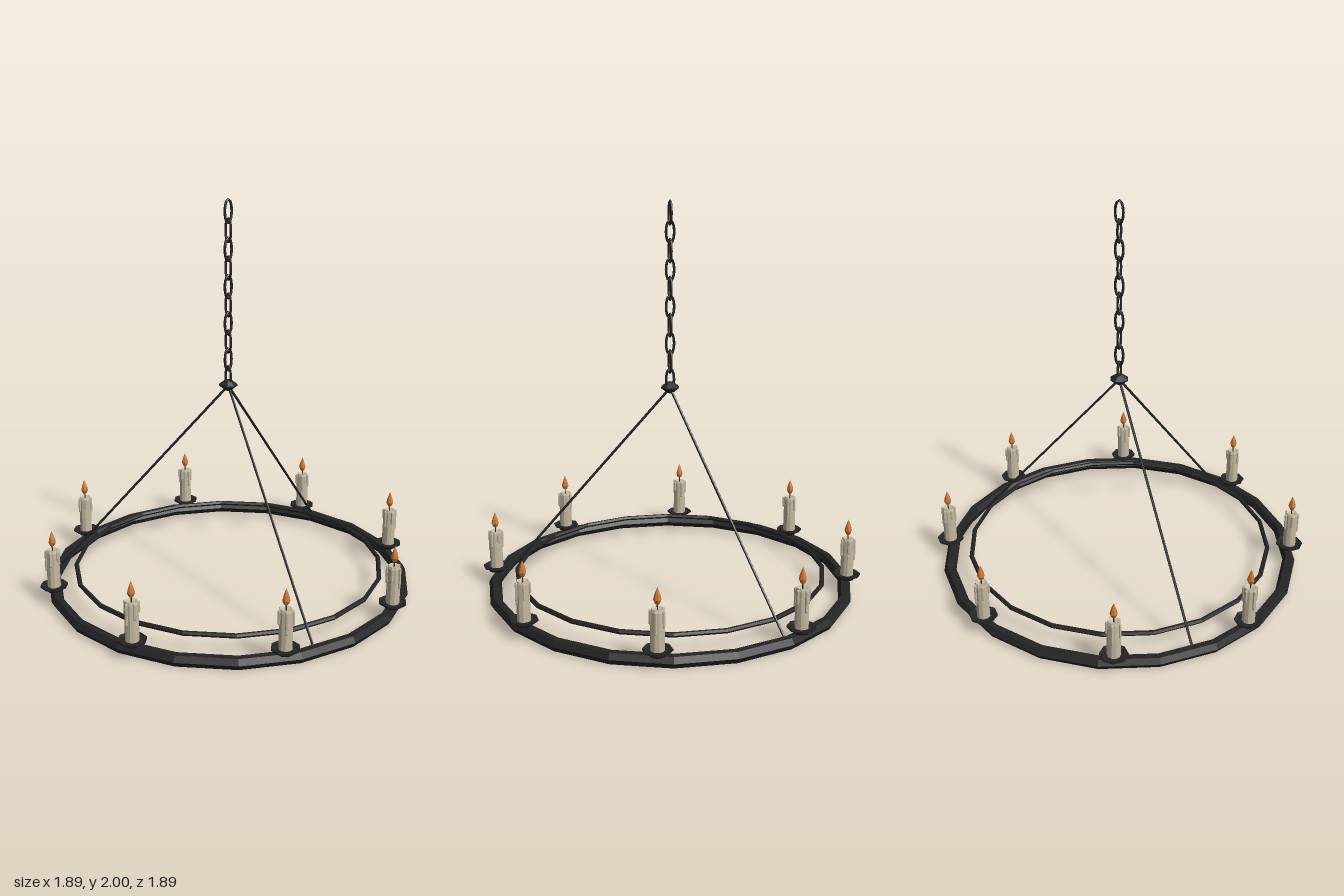
import * as THREE from 'three';

const mat = (name, color) => {
  const m = new THREE.MeshStandardMaterial({ color, flatShading: true });
  m.name = name;
  return m;
};

export function createModel() {
  const iron = mat('black iron', 0x242425);
  const wax = mat('candle wax', 0xc4b9a2);
  const fire = mat('flame orange', 0xcf772f);
  const root = new THREE.Group();
  root.name = 'chandelier';

  const add = (parent, name, geo, material, x = 0, y = 0, z = 0) => {
    const m = new THREE.Mesh(geo, material);
    m.name = name;
    m.position.set(x, y, z);
    parent.add(m);
    return m;
  };
  const lathe = (pts, sides) =>
    new THREE.LatheGeometry(pts.map(p => new THREE.Vector2(p[0], p[1])), sides);

  // Heavy outer hoop and thin inner hoop
  add(root, 'outerRing', new THREE.TorusGeometry(0.914, 0.032, 6, 20).rotateX(Math.PI / 2), iron, 0, 0.03, 0);
  add(root, 'innerRing', new THREE.TorusGeometry(0.797, 0.012, 6, 20).rotateX(Math.PI / 2), iron, 0, 0.1, 0);

  // Hub and three slanted rods
  add(root, 'hub', lathe([[0, 1.035], [0.018, 1.043], [0.047, 1.066], [0.047, 1.072], [0.018, 1.094], [0, 1.1]], 8), iron);
  const apex = new THREE.Vector3(0, 1.065, 0);
  for (let i = 0; i < 3; i++) {
    const a = THREE.MathUtils.degToRad(17 + i * 120);
    const foot = new THREE.Vector3(0.9 * Math.cos(a), 0.045, -0.9 * Math.sin(a));
    add(root, 'rod', new THREE.TubeGeometry(new THREE.LineCurve3(apex, foot), 1, 0.0065, 6), iron);
  }

  // Chain of oval links, each turned a quarter from the last
  const oval = [];
  for (let i = 0; i < 12; i++) {
    const a = i * Math.PI / 6;
    oval.push(new THREE.Vector3(0.021 * Math.cos(a), 0.057 * Math.sin(a), 0));
  }
  const linkGeo = new THREE.TubeGeometry(new THREE.CatmullRomCurve3(oval, true), 16, 0.0065, 6, true);
  for (let i = 0; i < 10; i++) {
    const link = add(root, 'chainLink', linkGeo, iron, 0, 1.9365 - i * 0.092, 0);
    link.rotation.y = (i % 2) * Math.PI / 2;
  }

  // Candle parts, shared by all eight candles
  const dishGeo = lathe([[0, 0.05], [0.04, 0.062], [0.048, 0.074], [0.07, 0.084], [0.07, 0.092], [0.05, 0.086], [0, 0.086]], 8);
  const candleGeo = lathe([[0, 0.085], [0.034, 0.085], [0.032, 0.272], [0.028, 0.285], [0.018, 0.28], [0, 0.276]], 10);
  const wickGeo = new THREE.CylinderGeometry(0.003, 0.003, 0.04, 5);
  const flameGeo = lathe([[0, 0.298], [0.012, 0.308], [0.019, 0.326], [0.014, 0.348], [0.006, 0.37], [0, 0.386]], 7);
  const drips = [[0.2, 0.1], [1.5, 0.06], [2.7, 0.08], [4.0, 0.045], [5.2, 0.07]];

  for (let i = 0; i < 8; i++) {
    const a = Math.PI / 8 + i * Math.PI / 4;
    const g = new THREE.Group();
    g.name = 'candleHolder';
    g.position.set(0.918 * Math.cos(a), 0, -0.918 * Math.sin(a));
    g.rotation.y = a;
    add(g, 'dish', dishGeo, iron);
    add(g, 'candle', candleGeo, wax);
    // Wax runs down from the rim
    for (const [t, len] of drips) {
      const drip = new THREE.CapsuleGeometry(0.0075, len, 2, 6);
      add(g, 'waxDrip', drip, wax, 0.033 * Math.cos(t), 0.275 - len / 2, 0.033 * Math.sin(t));
    }
    add(g, 'wick', wickGeo, iron, 0, 0.292, 0);
    add(g, 'flame', flameGeo, fire);
    root.add(g);
  }
  return root;
}
